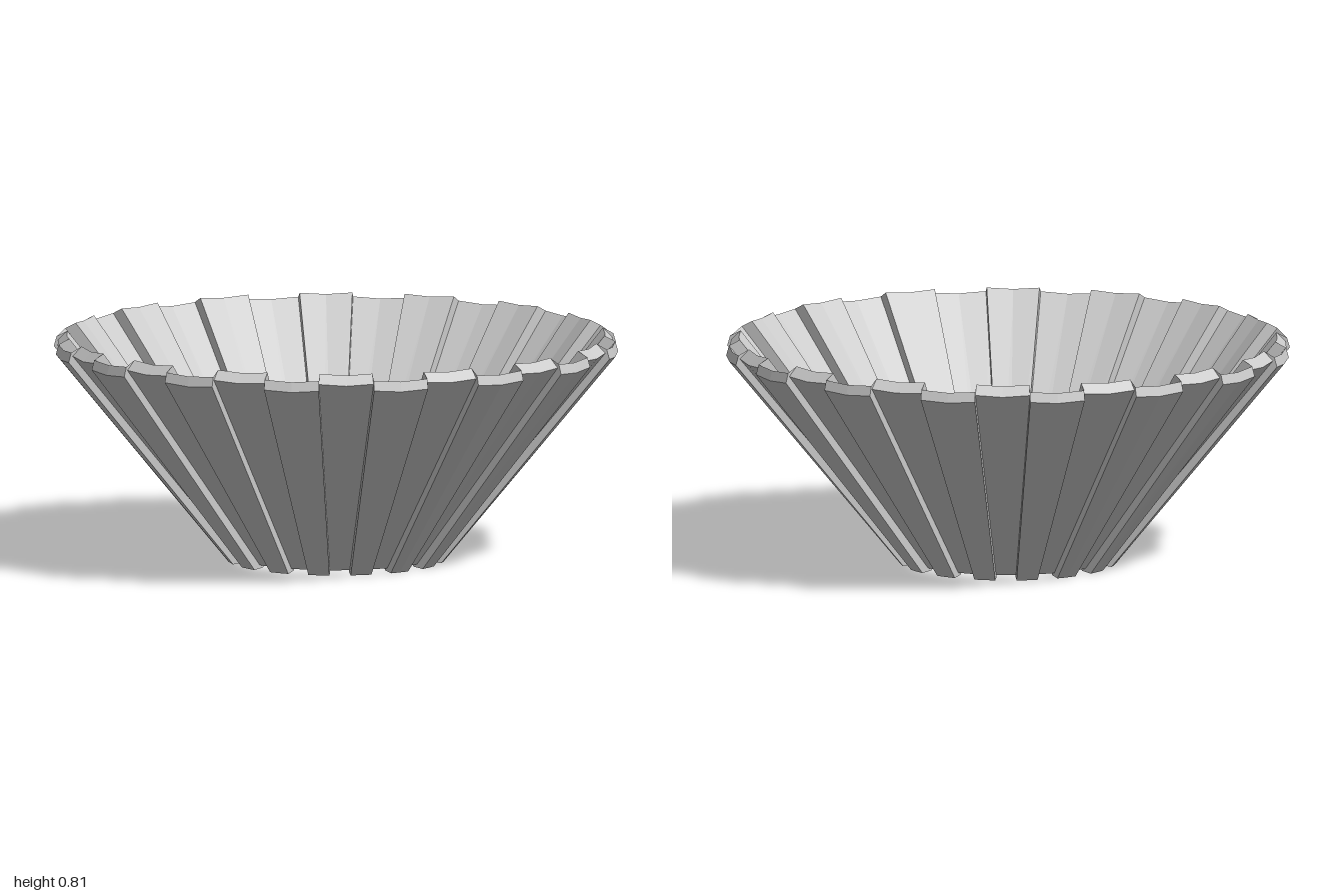
import * as THREE from 'three';

const BAYS = 16;
const STEP = Math.PI / BAYS; // each bay holds one raised and one recessed stave

// [radius, y] loops: outer bottom, outer top, inner top, inner bottom
const RECESSED = [[0.36, 0.04], [0.985, 0.8], [0.952, 0.833], [0.33, 0.05]];
const RAISED = [[0.385, 0.025], [1.0, 0.778], [0.99, 0.813], [0.345, 0.03]];

function pleatedShell() {
  // Ribs around the cone; neighbouring staves share an angle, which makes the risers
  const ribs = [];
  for (let i = 0; i < BAYS * 2; i++) {
    const profile = i % 2 ? RAISED : RECESSED;
    for (const t of [0, 0.5, 1]) {
      const a = (i + t) * STEP;
      const dip = t === 0.5 ? 0.006 : 0;
      ribs.push(profile.map(([r, y], k) => [
        r * Math.sin(a), y - (k === 1 || k === 2 ? dip : 0), r * Math.cos(a),
      ]));
    }
  }
  const pos = [];
  ribs.forEach((a, i) => {
    const b = ribs[(i + 1) % ribs.length];
    for (let k = 0; k < 4; k++) {
      const n = (k + 1) % 4;
      pos.push(...a[k], ...b[k], ...b[n], ...a[k], ...b[n], ...a[n]);
    }
  });
  const g = new THREE.BufferGeometry();
  g.setAttribute('position', new THREE.Float32BufferAttribute(pos, 3));
  g.computeVertexNormals(); // unshared corners give flat facets
  return g;
}

export function createModel() {
  const grey = new THREE.MeshStandardMaterial({ color: 0xcccccc });
  grey.name = 'light grey';
  const group = new THREE.Group();
  group.name = 'pleatedCone';
  const shell = new THREE.Mesh(pleatedShell(), grey);
  shell.name = 'pleatedShell';
  group.add(shell);
  return group;
}
